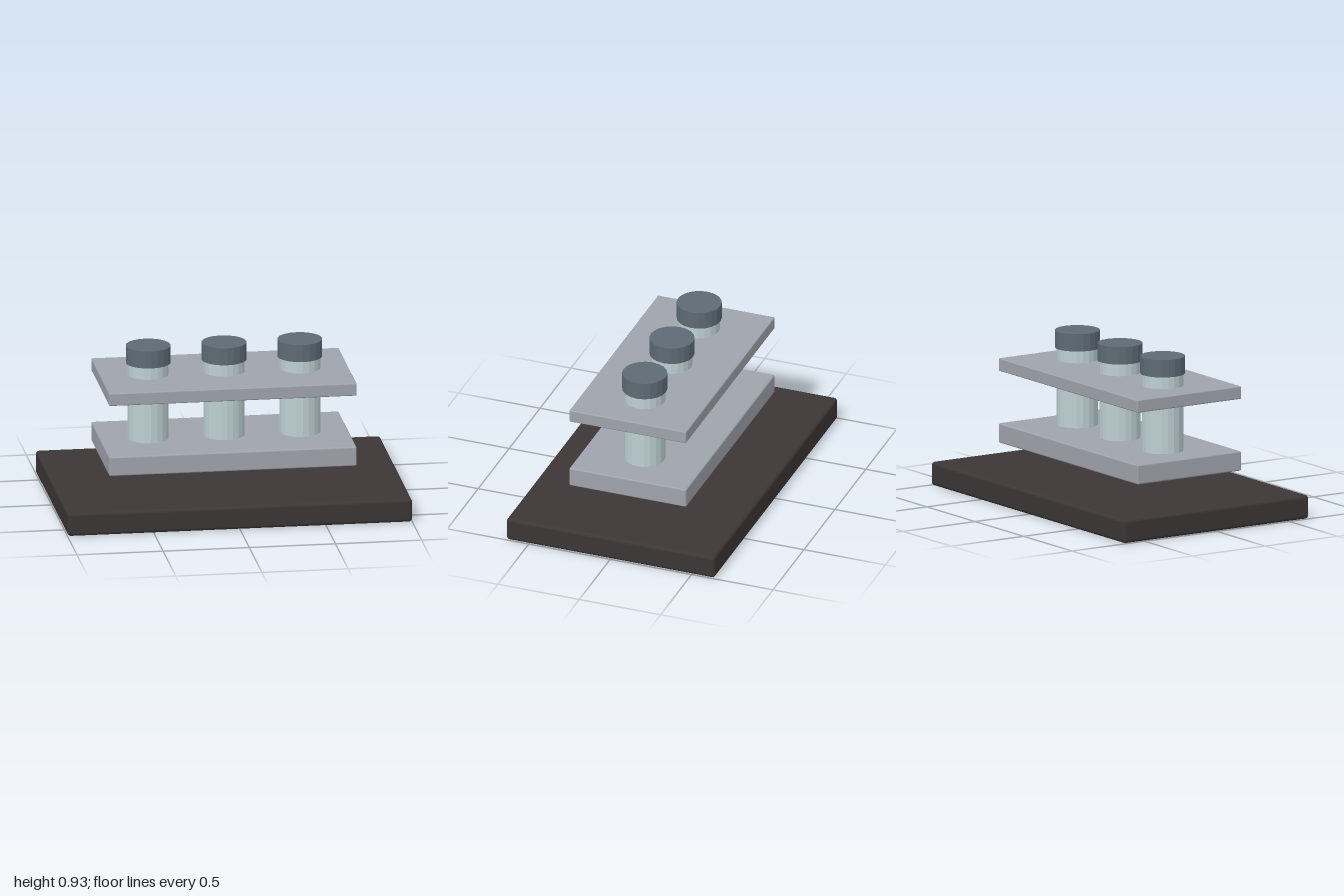
import * as THREE from 'three';
import { RoundedBoxGeometry } from 'three/addons/geometries/RoundedBoxGeometry.js';

function material(name, color, flatShading = false) {
  const m = new THREE.MeshStandardMaterial({ color, flatShading });
  m.name = name;
  return m;
}

export function createModel() {
  const model = new THREE.Group();
  model.name = 'tubeRack';

  const dark = material('darkBrown', 0x3c3636);
  const grey = material('rackGrey', 0x9fa3ab);
  const glass = material('paleGlass', 0xbdd0d3, true);
  const slate = material('slateCap', 0x5d6a74, true);

  const add = (parent, name, geometry, mat, x, y) => {
    const mesh = new THREE.Mesh(geometry, mat);
    mesh.name = name;
    mesh.position.set(x, y, 0);
    parent.add(mesh);
  };

  // Slab with softened edges, spanning y0 to y1
  const slab = (name, width, depth, y0, y1, radius, mat) =>
    add(model, name, new RoundedBoxGeometry(width, y1 - y0, depth, 3, radius), mat, 0, (y0 + y1) / 2);

  slab('base', 2, 1.28, 0, 0.138, 0.02, dark);
  slab('lowerBlock', 1.436, 0.718, 0.265, 0.38, 0.009, grey);
  slab('upperPlate', 1.436, 0.718, 0.686, 0.761, 0.007, grey);

  // Three capped tubes standing in the lower block and passing through the plate
  const cylinder = (radius, y0, y1) => new THREE.CylinderGeometry(radius, radius, y1 - y0, 20);
  for (const x of [-0.44, 0, 0.44]) {
    const tube = new THREE.Group();
    tube.name = 'cappedTube';
    tube.position.x = x;
    add(tube, 'tube', cylinder(0.119, 0.3, 0.84), glass, 0, 0.57);
    add(tube, 'cap', cylinder(0.13, 0.832, 0.934), slate, 0, 0.883);
    model.add(tube);
  }
  return model;
}
